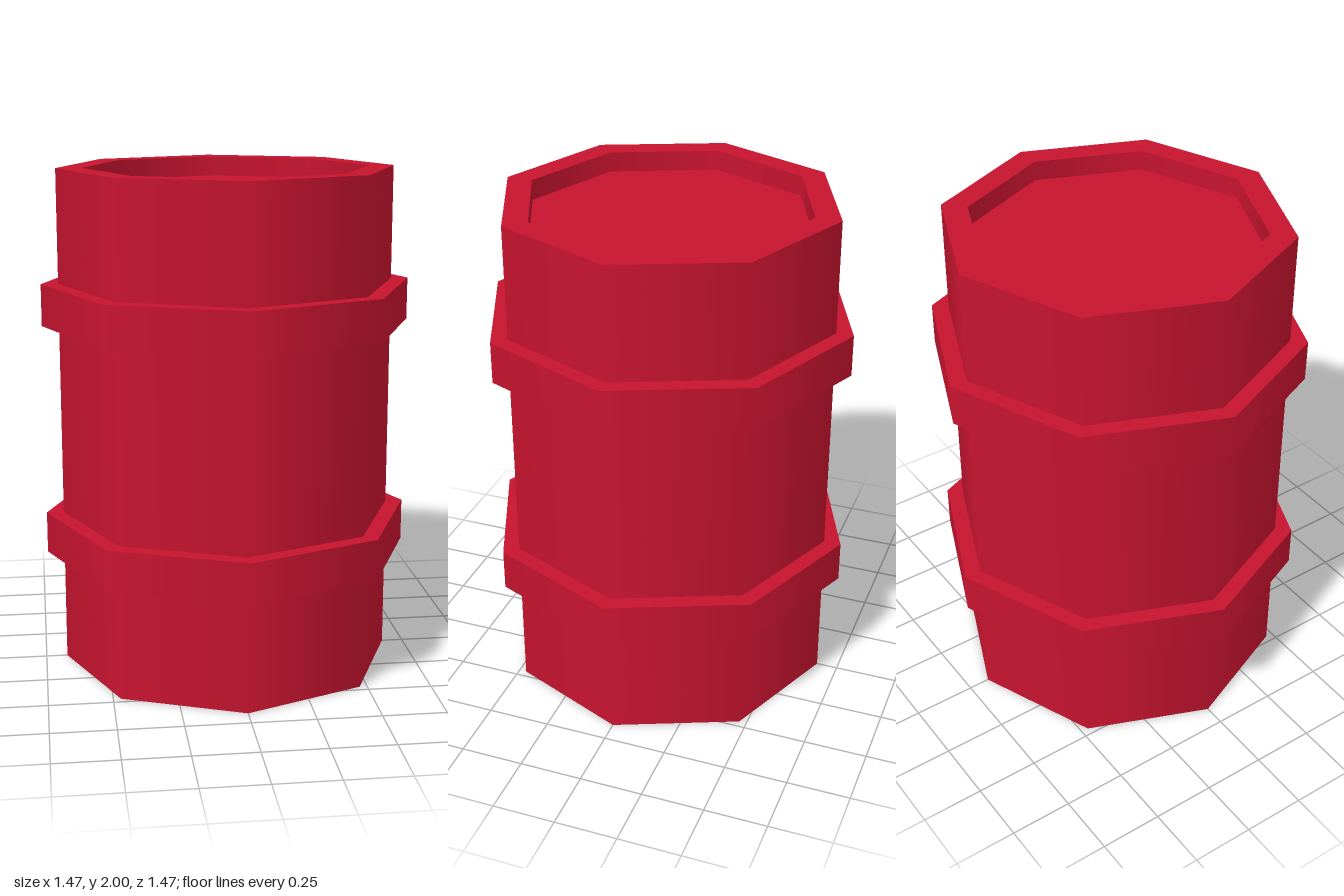
import * as THREE from 'three';
import { mergeGeometries } from 'three/addons/utils/BufferGeometryUtils.js';

const SIDES = 8;

// Revolve each profile segment separately: smooth around, sharp between segments
function revolve(profile) {
  const parts = [];
  for (let i = 0; i < profile.length - 1; i++) {
    const pair = [profile[i], profile[i + 1]].map(([r, y]) => new THREE.Vector2(r, y));
    parts.push(new THREE.LatheGeometry(pair, SIDES));
  }
  return mergeGeometries(parts);
}

export function createModel() {
  const group = new THREE.Group();
  group.name = 'barrel';
  const red = new THREE.MeshStandardMaterial({ color: 0xc8142f });

  const add = (name, profile, y = 0) => {
    const mesh = new THREE.Mesh(revolve(profile), red);
    mesh.name = name;
    mesh.position.y = y;
    group.add(mesh);
  };

  // Drum with flat base, raised rim and recessed lid
  const R = 0.665, LID = 0.563;
  add('drum', [[0, 0], [R, 0], [R, 2], [LID, 2], [LID, 1.92], [0, 1.92]]);

  // Two hoops standing proud of the drum
  const HOOP = 0.733, H = 0.166;
  const hoop = [[R, 0], [HOOP, 0], [HOOP, H], [R, H]];
  add('lowerHoop', hoop, 0.454);
  add('upperHoop', hoop, 1.385);

  return group;
}
